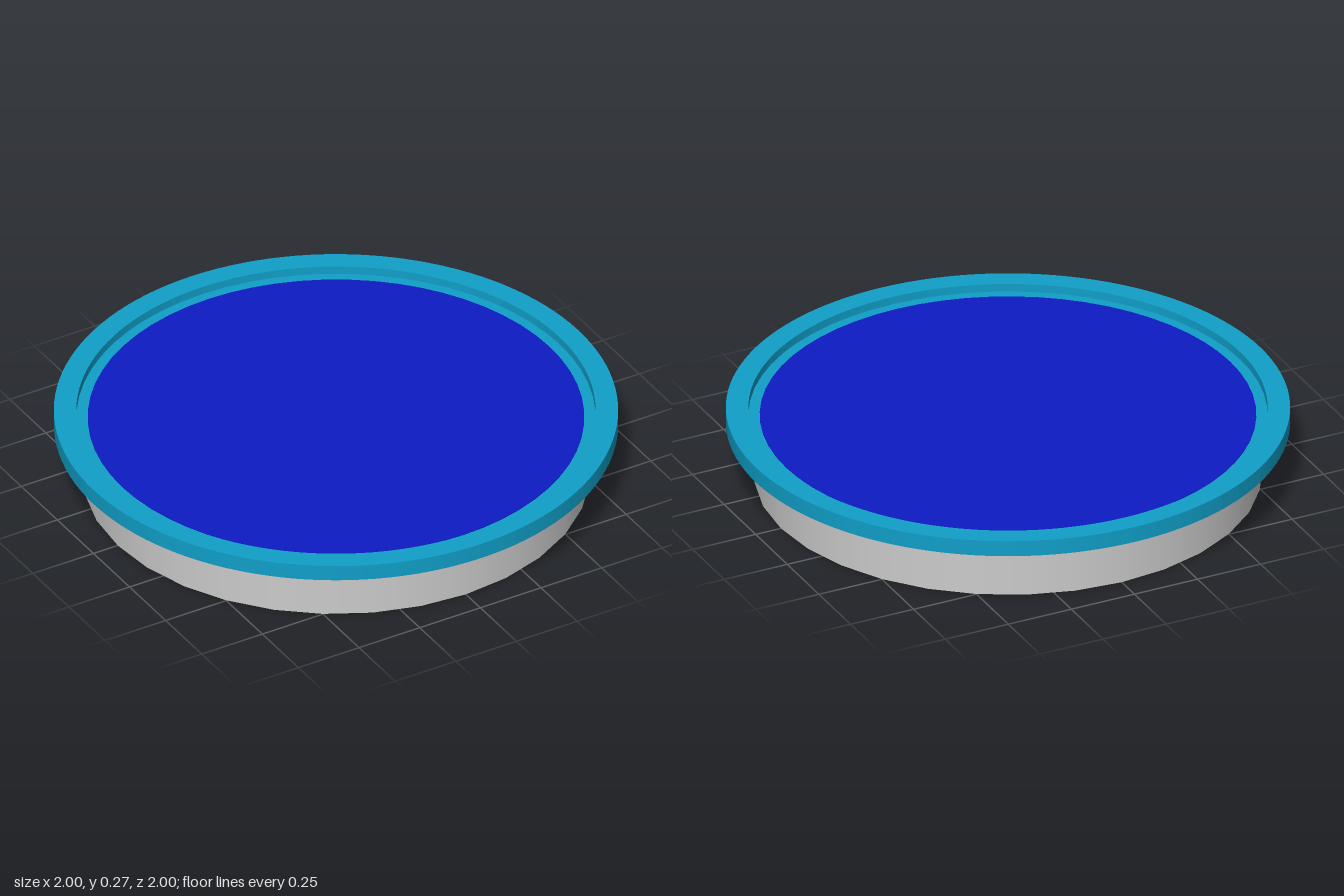
import * as THREE from 'three';

export function createModel() {
  const model = new THREE.Group();
  const add = (name, geometry, color, y = 0) => {
    const mesh = new THREE.Mesh(geometry, new THREE.MeshStandardMaterial({ color }));
    mesh.name = name;
    mesh.position.y = y;
    model.add(mesh);
  };
  const disc = (radius, height, sides) => new THREE.CylinderGeometry(radius, radius, height, sides);
  const teal = 0x109fc8;

  // Grey drum that carries the tray
  add('base', disc(0.9, 0.21, 32), 0xcccccc, 0.105);

  // Raised flat ring, extruded upwards
  const ring = new THREE.Shape().absarc(0, 0, 1, 0, Math.PI * 2, false);
  ring.holes.push(new THREE.Path().absarc(0, 0, 0.92, 0, Math.PI * 2, true));
  const rim = new THREE.ExtrudeGeometry(ring, { depth: 0.06, bevelEnabled: false, curveSegments: 64 });
  rim.rotateX(-Math.PI / 2);
  add('rim', rim, teal, 0.21);

  // Recessed tray floor and the blue surface lying on it
  add('tray', disc(0.92, 0.03, 64), teal, 0.225);
  add('surface', disc(0.88, 0.004, 64), 0x0d1bc4, 0.24);

  return model;
}
